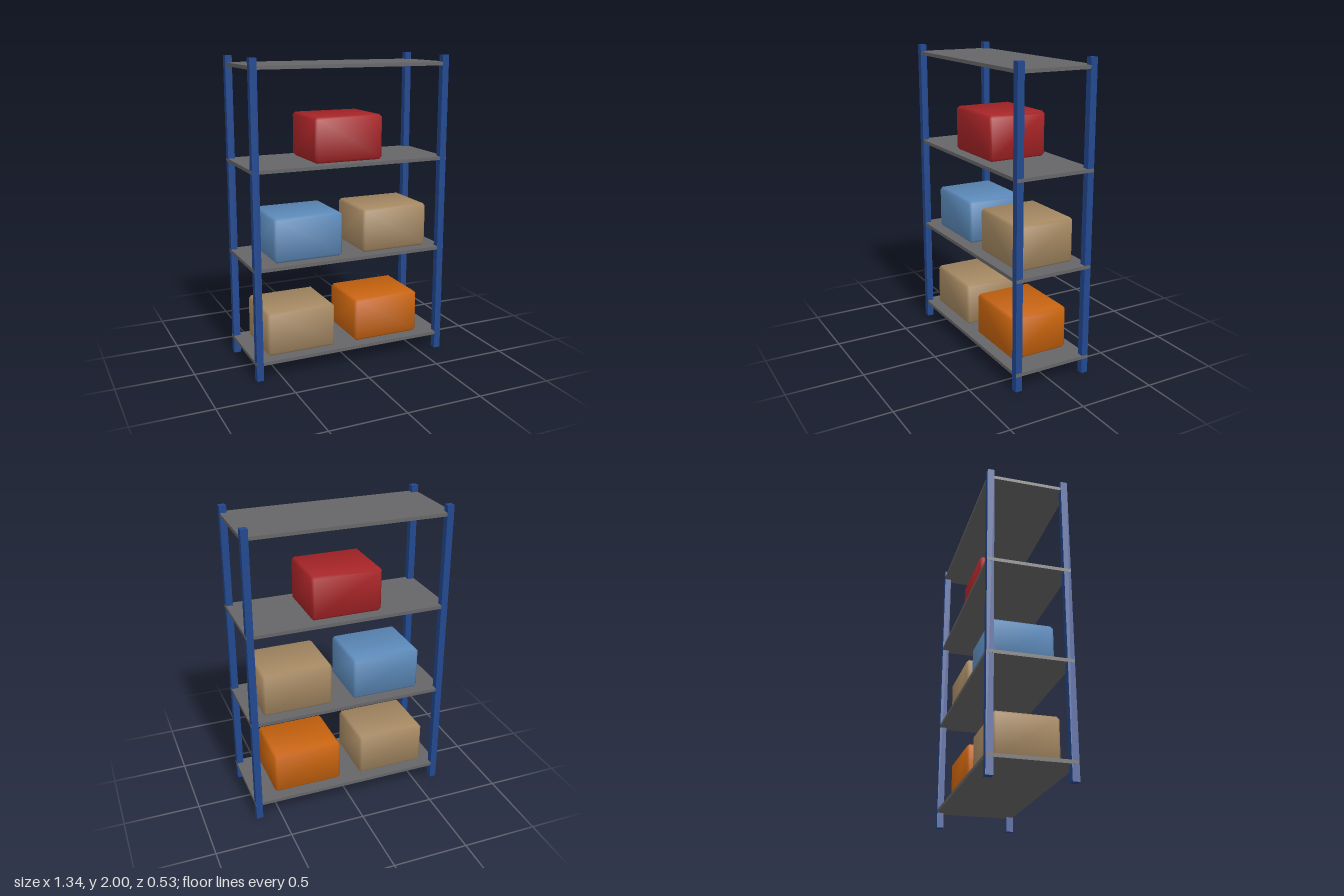
import * as THREE from 'three';
import { ConvexGeometry } from 'three/addons/geometries/ConvexGeometry.js';

const HEIGHT = 2, WIDTH = 1.333, DEPTH = 0.533;
const POST = 0.0444, SHELF = 0.0224;
const SHELF_Y = [0.111, 0.722, 1.333, 1.944];
const BOX = [0.466, 0.288, 0.4];

const material = (name, color) => {
  const m = new THREE.MeshStandardMaterial({ color });
  m.name = name;
  return m;
};

// Chamfered box whose normals lean outwards at the corners for soft shading.
function softBox(w, h, d, bevel, lean) {
  const half = [w / 2, h / 2, d / 2];
  const points = [];
  for (const sx of [-1, 1]) for (const sy of [-1, 1]) for (const sz of [-1, 1]) {
    const signs = [sx, sy, sz];
    for (let face = 0; face < 3; face++) {
      points.push(new THREE.Vector3(...signs.map((s, i) => s * (half[i] - (i === face ? 0 : bevel)))));
    }
  }
  const geo = new ConvexGeometry(points);
  const pos = geo.attributes.position, normal = geo.attributes.normal;
  const v = new THREE.Vector3();
  for (let i = 0; i < pos.count; i++) {
    const n = [pos.getX(i), pos.getY(i), pos.getZ(i)].map((c, k) =>
      Math.sign(c) * (Math.abs(c) > half[k] - bevel / 2 ? 1 : lean));
    v.set(...n).normalize();
    normal.setXYZ(i, v.x, v.y, v.z);
  }
  return geo;
}

export function createModel() {
  const rack = new THREE.Group();
  rack.name = 'storageRack';

  const postBlue = material('postBlue', 0x22488f);
  const shelfGrey = material('shelfGrey', 0x666668);
  const red = material('boxRed', 0xa82427);
  const orange = material('boxOrange', 0xc9640e);
  const tan = material('boxTan', 0xa68963);
  const lightBlue = material('boxBlue', 0x5c8aba);

  const add = (name, geo, mat, x, y, z) => {
    const mesh = new THREE.Mesh(geo, mat);
    mesh.name = name;
    mesh.position.set(x, y, z);
    rack.add(mesh);
  };

  // Corner posts
  const postGeo = new THREE.BoxGeometry(POST, HEIGHT, POST);
  for (const [sx, side] of [[-1, 'Right'], [1, 'Left']]) {
    for (const [sz, end] of [[-1, 'back'], [1, 'front']]) {
      add(`${end}${side}Post`, postGeo, postBlue,
        sx * (WIDTH - POST) / 2, HEIGHT / 2, sz * (DEPTH - POST) / 2);
    }
  }

  // Shelves: the lower three lap over the post sides, the top one sits just inside
  SHELF_Y.forEach((y, i) => {
    const length = WIDTH + (i < 3 ? 0.002 : -0.002);
    add(`shelf${i + 1}`, new THREE.BoxGeometry(length, SHELF, DEPTH - 0.001), shelfGrey, 0, y, 0);
  });

  // Storage boxes: name, material, shelf index, x
  const boxGeo = softBox(...BOX, 0.0165, 0.39);
  const boxes = [
    ['lowerTanBox', tan, 0, -0.334],
    ['orangeBox', orange, 0, 0.277],
    ['blueBox', lightBlue, 1, -0.279],
    ['middleTanBox', tan, 1, 0.333],
    ['redBox', red, 2, 0],
  ];
  for (const [name, mat, shelf, x] of boxes) {
    add(name, boxGeo, mat, x, SHELF_Y[shelf] + SHELF / 2 + BOX[1] / 2, 0);
  }

  return rack;
}
